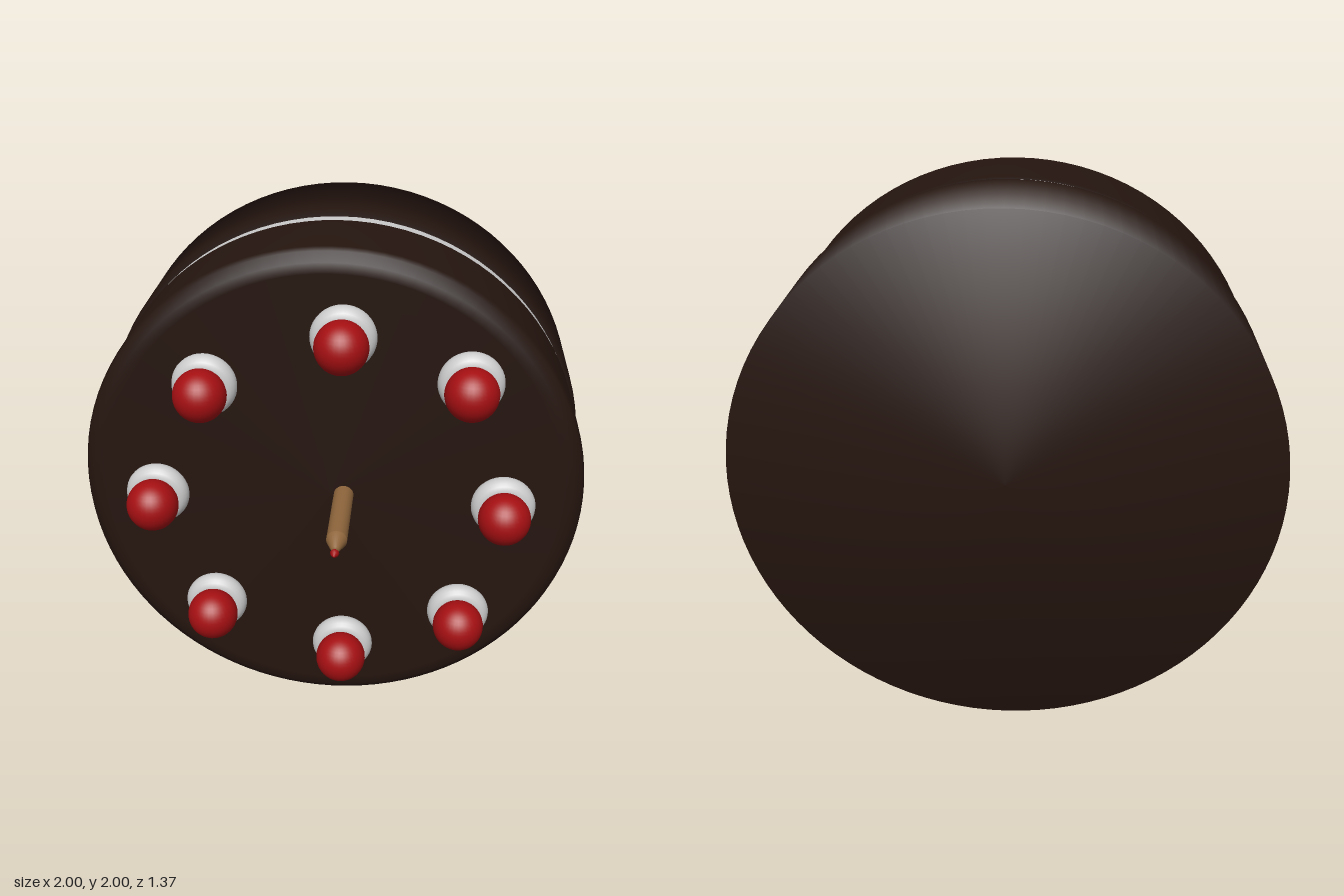
import * as THREE from 'three';

const material = (color) => new THREE.MeshStandardMaterial({ color });
const chocolate = material(0x25150f);
const cream = material(0xcccccc);
const red = material(0xa50f12);
const wax = material(0x8f663c);

// Solid of revolution around the z axis; profile points are [radius, z], back to front.
function turned(name, profile, mat, segments) {
  const points = profile.map(([r, z]) => new THREE.Vector2(r, z));
  const geometry = new THREE.LatheGeometry(points, segments);
  geometry.rotateX(Math.PI / 2);
  const mesh = new THREE.Mesh(geometry, mat);
  mesh.name = name;
  return mesh;
}

export function createModel() {
  const cake = new THREE.Group();
  cake.name = 'cake';
  cake.position.y = 1;

  // Two sponge layers with a band of filling between them
  cake.add(turned('bottomLayer',
    [[0, -0.685], [1, -0.685], [1, -0.265], [0.98, -0.23], [0, -0.23]], chocolate, 96));
  cake.add(turned('filling',
    [[0.98, -0.235], [0.98, -0.17]], cream, 96));
  cake.add(turned('topLayer',
    [[0, -0.175], [0.98, -0.175], [0.985, -0.16], [0.985, 0.175], [0.975, 0.2],
      [0.94, 0.227], [0.9, 0.228], [0, 0.228]], chocolate, 96));

  // Ring of cherries, each on a swirl of cream
  const spots = [[0.05, 0.675], [0.52, 0.51], [0.67, 0], [0.52, -0.5],
    [0.05, -0.685], [-0.47, -0.5], [-0.68, 0], [-0.47, 0.47]];
  const swirlGeometry = new THREE.TorusGeometry(0.079, 0.045, 20, 40);
  const cherryGeometry = new THREE.SphereGeometry(0.1, 32, 20);
  for (const [x, y] of spots) {
    const topping = new THREE.Group();
    topping.name = 'topping';
    topping.position.set(x, y, 0.27);
    const swirl = new THREE.Mesh(swirlGeometry, cream);
    swirl.name = 'creamSwirl';
    const cherry = new THREE.Mesh(cherryGeometry, red);
    cherry.name = 'cherry';
    cherry.position.z = 0.098;
    topping.add(swirl, cherry);
    cake.add(topping);
  }

  // Candle with a tapered tip and a small flame
  const candle = new THREE.Group();
  candle.name = 'candle';
  candle.position.x = 0.05;
  candle.add(turned('candleStick',
    [[0.039, 0.2], [0.039, 0.565], [0.039, 0.57], [0.014, 0.637], [0, 0.637]], wax, 24));
  candle.add(turned('flame',
    [[0, 0.635], [0.01, 0.645], [0.017, 0.657], [0.012, 0.67], [0, 0.685]], red, 16));
  cake.add(candle);

  const model = new THREE.Group();
  model.add(cake);
  return model;
}
